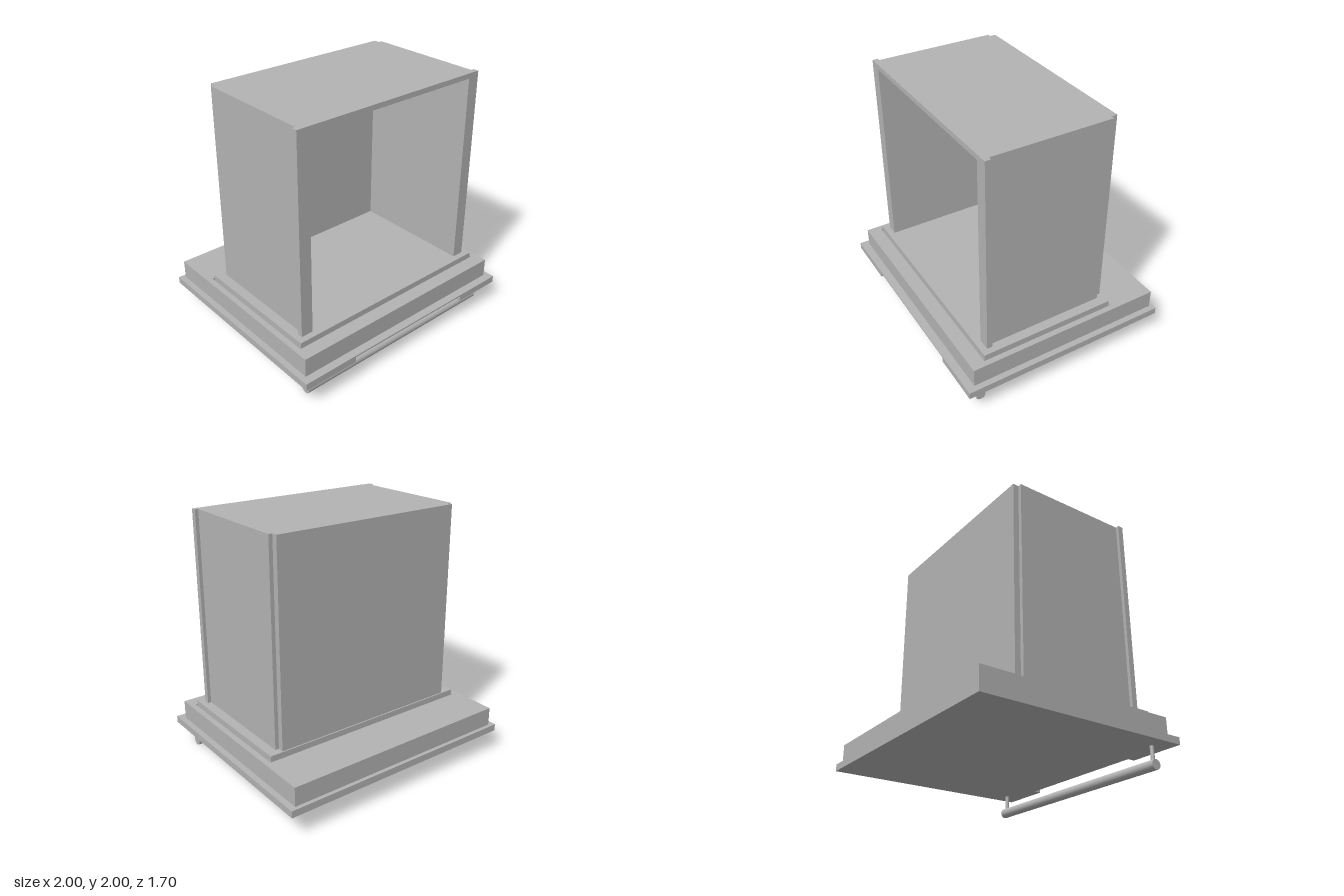
import * as THREE from 'three';

const grey = new THREE.MeshStandardMaterial({ color: 0xb3b3b3 });
grey.name = 'plain grey';

// Closed outline from [x, z] points, laid flat in the ground plane
function outline(points, Type = THREE.Shape) {
  return new Type(points.map(([x, z]) => new THREE.Vector2(x, -z)));
}
const rect = (x, z0, z1) => [[-x, z1], [x, z1], [x, z0], [-x, z0]];

export function createModel() {
  const model = new THREE.Group();
  model.name = 'drawerUnit';

  function add(name, geometry, x = 0, y = 0, z = 0) {
    const mesh = new THREE.Mesh(geometry, grey);
    mesh.name = name;
    mesh.position.set(x, y, z);
    model.add(mesh);
    return mesh;
  }
  function box(name, x0, x1, y0, y1, z0, z1) {
    return add(name, new THREE.BoxGeometry(x1 - x0, y1 - y0, z1 - z0),
      (x0 + x1) / 2, (y0 + y1) / 2, (z0 + z1) / 2);
  }
  // Flat outline raised from y0 to y1
  function slab(name, shape, y0, y1) {
    const geometry = new THREE.ExtrudeGeometry(shape, { depth: y1 - y0, bevelEnabled: false });
    geometry.rotateX(-Math.PI / 2);
    return add(name, geometry, 0, y0, 0);
  }

  // Face plate, with a finger notch under its front edge
  slab('facePlate', outline([
    [-1, -0.85], [1, -0.85], [1, 0.85], [0.585, 0.85], [0.585, 0.79],
    [-0.545, 0.79], [-0.545, 0.85], [-1, 0.85],
  ]), 0.18, 0.235);
  box('notchLip', -0.545, 0.585, 0.222, 0.235, 0.79, 0.85);

  // Stepped block with a narrow gap around the inset panel
  const block = outline(rect(0.953, -0.82, 0.785));
  block.holes.push(outline(rect(0.908, -0.455, 0.675), THREE.Path));
  slab('backingFrame', block, 0.235, 0.385);
  box('insetPanel', -0.896, 0.896, 0.235, 0.422, -0.44, 0.665);

  // Box walls: front flanges, rebated back corners, open front
  const half = [[0.75, 0.615], [0.847, 0.615], [0.847, 0.57], [0.82, 0.57],
    [0.82, -0.383], [0.79, -0.383], [0.79, -0.43]];
  const mirrored = half.map(([x, z]) => [-x, z]).reverse();
  slab('boxWalls', outline([...half, ...mirrored, [-0.75, -0.39], [0.75, -0.39]]), 0.422, 1.96);
  slab('boxRoof', outline([...half.slice(1), ...mirrored.slice(0, -1)]), 1.96, 2);

  // Handle rail and its two posts
  const rail = new THREE.CylinderGeometry(0.039, 0.039, 1.8, 32);
  rail.rotateZ(Math.PI / 2);
  add('handleRail', rail, 0.004, 0.039, 0.705);
  for (const side of [-1, 1]) {
    add('handlePost', new THREE.CylinderGeometry(0.015, 0.015, 0.13, 20), side * 0.867, 0.12, 0.705);
  }
  return model;
}
